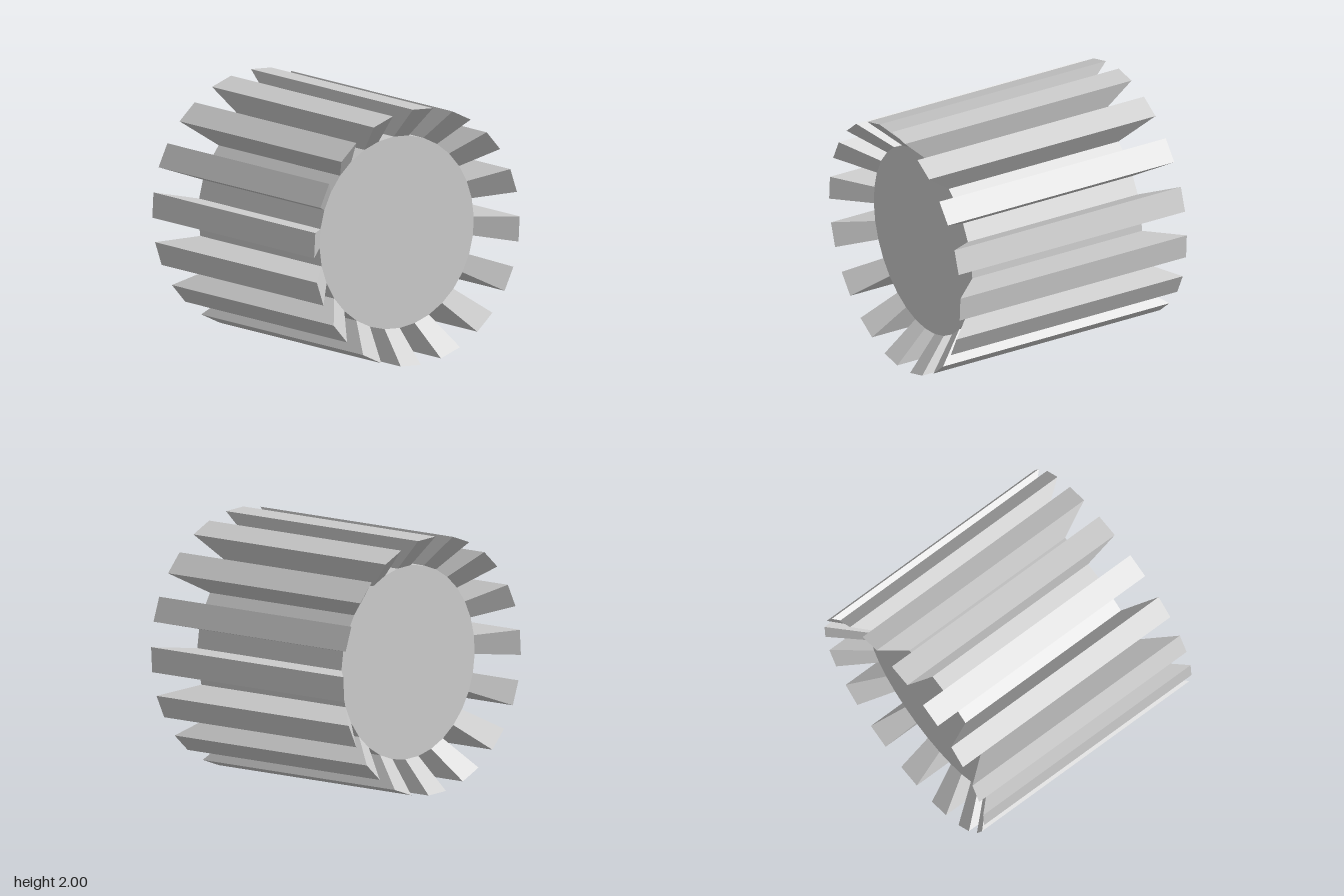
import * as THREE from 'three';

const TEETH = 16;
const SIDES = TEETH * 2;          // teeth and gaps alternate around the drum
const STEP = (Math.PI * 2) / SIDES;
const TWIST = THREE.MathUtils.degToRad(2.25);
const INNER = 0.75, OUTER = 1;

// One tooth pointing along +y: both width and length grow with the radius
function toothGeometry() {
  const box = new THREE.BoxGeometry(2, 2, 2);
  const p = box.attributes.position;
  for (let i = 0; i < p.count; i++) {
    const r = p.getY(i) > 0 ? OUTER : INNER;
    p.setXYZ(
      i,
      p.getX(i) * r * Math.sin(STEP / 2),
      r * Math.cos(STEP / 2),
      p.getZ(i) * r
    );
  }
  // Leave out the bottom face, which sits on the drum
  const index = Array.from(box.index.array);
  index.splice(18, 6);
  box.setIndex(index);
  box.clearGroups();
  box.computeVertexNormals();
  return box;
}

export function createModel() {
  const gear = new THREE.Group();
  gear.name = 'gear';
  gear.position.y = 1;
  const material = new THREE.MeshStandardMaterial({ color: 0xcccccc, flatShading: true });

  // Solid faceted drum lying along z
  const drumGeometry = new THREE.CylinderGeometry(INNER, INNER, INNER * 2, SIDES);
  drumGeometry.rotateX(Math.PI / 2);
  drumGeometry.rotateZ(TWIST);
  const drum = new THREE.Mesh(drumGeometry, material);
  drum.name = 'drum';
  gear.add(drum);

  // Ring of flared teeth, one on every second facet
  const geometry = toothGeometry();
  for (let i = 0; i < TEETH; i++) {
    const tooth = new THREE.Mesh(geometry, material);
    tooth.name = `tooth${i + 1}`;
    tooth.rotation.z = TWIST - STEP / 2 + i * STEP * 2;
    gear.add(tooth);
  }

  const model = new THREE.Group();
  model.name = 'gearWheel';
  model.add(gear);
  return model;
}
